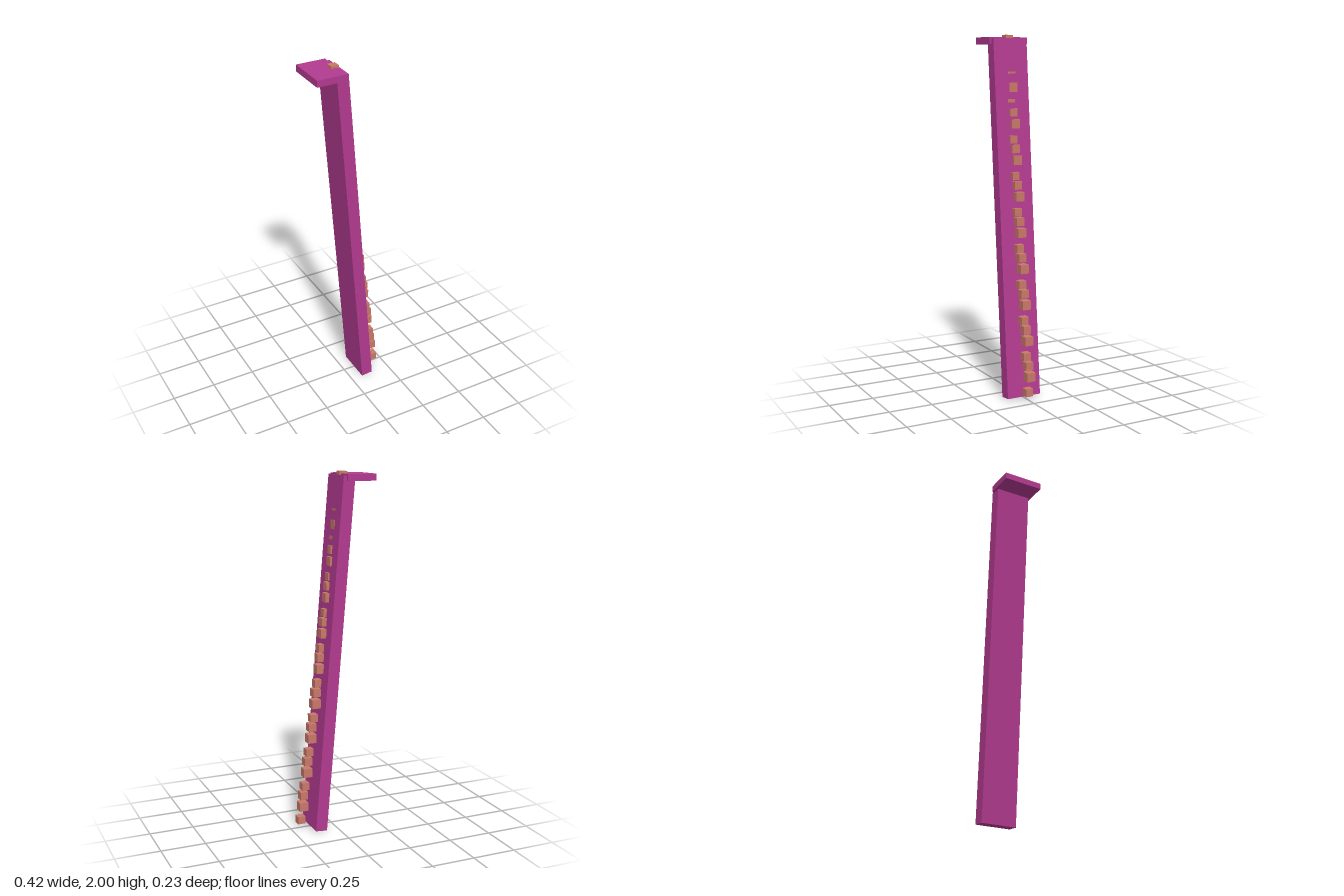
import * as THREE from 'three';

export function createModel() {
  const model = new THREE.Group();
  const magenta = new THREE.MeshStandardMaterial({ color: 0xb23a90 });
  magenta.name = 'magenta';
  const clay = new THREE.MeshStandardMaterial({ color: 0xc87868 });
  clay.name = 'clay';

  const box = (parent, name, size, position, material) => {
    const mesh = new THREE.Mesh(new THREE.BoxGeometry(...size), material);
    mesh.name = name;
    mesh.position.set(...position);
    parent.add(mesh);
    return mesh;
  };

  // Leaning plank
  const plank = box(model, 'plank', [0.067, 1.981, 0.204], [0.0196, 0.9915, -0.001], magenta);
  plank.rotation.z = Math.atan(0.084);

  // Flat ledge at the top
  box(model, 'topLedge', [0.165, 0.037, 0.231], [-0.1305, 1.969, -0.0015], magenta);

  // Repeating rows of three studs that sink into the plank as they rise
  const studs = new THREE.Group();
  studs.name = 'studs';
  model.add(studs);
  const kinds = [
    { name: 'lowerStud', size: 0.043, at: [0.188, 0.05, 0.004] },
    { name: 'middleStud', size: 0.05, at: [0.18, 0.135, -0.01] },
    { name: 'upperStud', size: 0.045, at: [0.174, 0.197, -0.003] },
  ];
  for (let i = 0; i < 10; i++) {
    for (const { name, size, at: [x, y, z] } of kinds) {
      box(studs, name, [size, size, size], [x - 0.0263 * i, y + 0.1978 * i, z], clay);
    }
  }
  return model;
}
